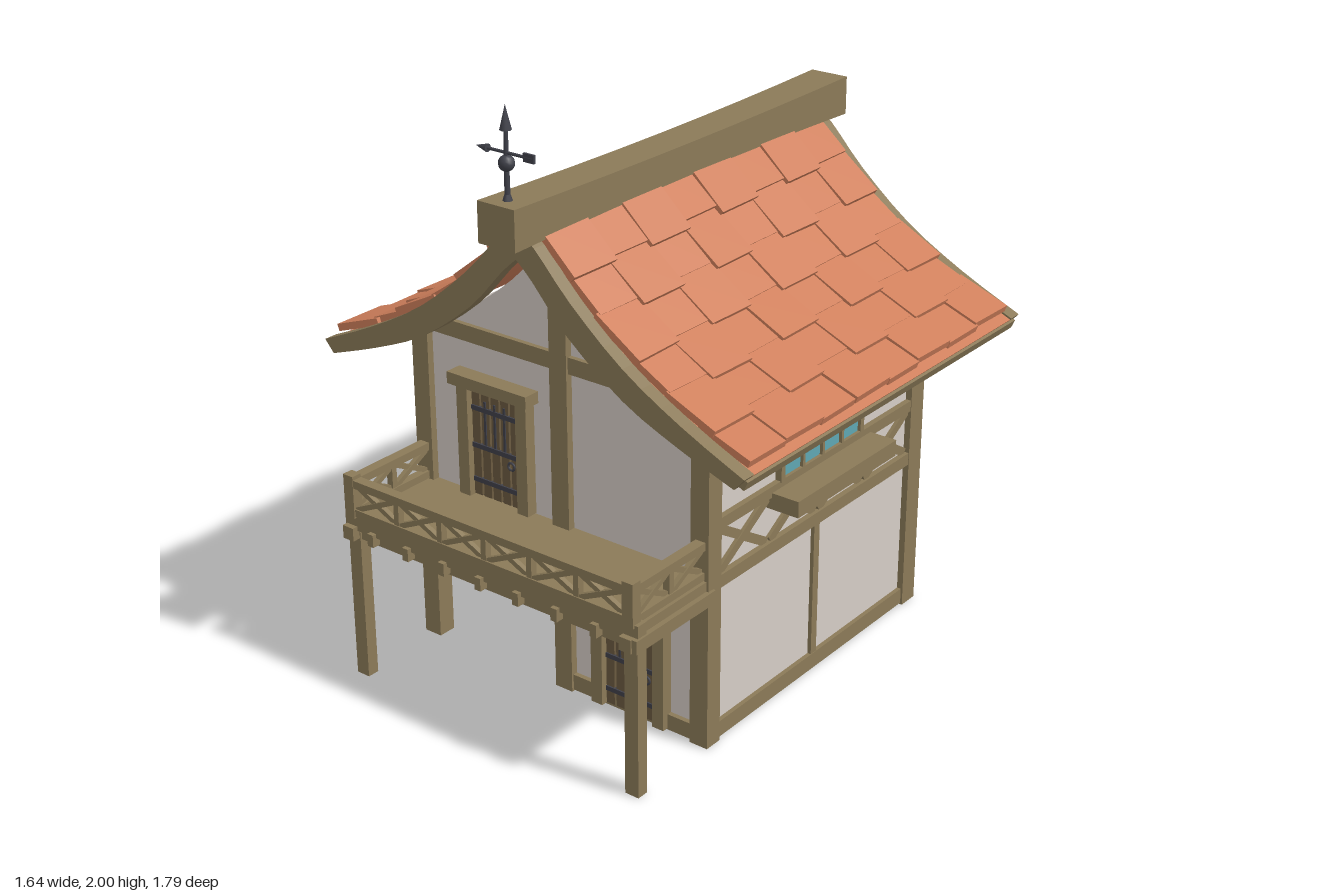
import * as THREE from 'three';

const material = (color, extra = {}) => new THREE.MeshStandardMaterial({ color, ...extra });
const WOOD = material(0x8b7a58, { flatShading: true });
const DOOR = material(0x6b5a40, { flatShading: true });
const PLASTER = material(0xd6cdc6);
const TILE = material(0xcf7f5b, { flatShading: true });
const GLASS = material(0x5fa6b2);
const IRON = material(0x40414a);

// Roof cross-section: upper and lower edge of the curved rafters, ridge to eave
const UPPER = [[0, 1.62], [0.07, 1.575], [0.2, 1.44], [0.39, 1.285], [0.6, 1.165], [0.82, 1.065]];
const LOWER = [[0, 1.525], [0.06, 1.47], [0.19, 1.33], [0.39, 1.185], [0.59, 1.095], [0.785, 1.025]];
const roofCurve = (t) => new THREE.SplineCurve(UPPER.map(([x, y], i) =>
  new THREE.Vector2(x + (LOWER[i][0] - x) * t, y + (LOWER[i][1] - y) * t)));
const halfRoof = (t) => roofCurve(t).getPoints(15);
const fullRoof = (t) => {
  const half = halfRoof(t);
  return [...half.slice(1).reverse().map((p) => new THREE.Vector2(-p.x, p.y)), ...half];
};

let seed = 7;
const jitter = (amount) => {
  seed = (seed * 16807) % 2147483647;
  return (seed / 2147483647 - 0.5) * 2 * amount;
};

function add(parent, name, geometry, mat, x = 0, y = 0, z = 0) {
  const mesh = new THREE.Mesh(geometry, mat);
  mesh.name = name;
  mesh.position.set(x, y, z);
  parent.add(mesh);
  return mesh;
}

// Box given by its extents
function box(parent, name, x0, x1, y0, y1, z0, z1, mat = WOOD) {
  return add(parent, name, new THREE.BoxGeometry(x1 - x0, y1 - y0, z1 - z0), mat,
    (x0 + x1) / 2, (y0 + y1) / 2, (z0 + z1) / 2);
}

// Flat panel given by an outline in x and y
function slab(parent, name, shape, z0, z1, mat) {
  return add(parent, name, new THREE.ExtrudeGeometry(shape, { depth: z1 - z0, bevelEnabled: false, curveSegments: 6 }),
    mat, 0, 0, z0);
}

function group(parent, name, x = 0, y = 0, z = 0, turn = 0) {
  const g = new THREE.Group();
  g.name = name;
  g.position.set(x, y, z);
  g.rotation.y = turn;
  parent.add(g);
  return g;
}

// Row of X braces in the local xy plane
function crosses(parent, name, x0, x1, y0, y1, count, width, depth, posts = false) {
  const step = (x1 - x0) / count;
  for (let i = 0; i < count; i++) {
    const cx = x0 + step * (i + 0.5);
    for (const s of [-1, 1]) {
      const bar = add(parent, name, new THREE.BoxGeometry(Math.hypot(step, y1 - y0) - width * 0.6, width, depth),
        WOOD, cx, (y0 + y1) / 2, s * 0.002);
      bar.rotation.z = s * Math.atan2(y1 - y0, step);
    }
    if (posts && i) box(parent, 'balusterPost', x0 + step * i - 0.01, x0 + step * i + 0.01, y0, y1, -0.012, 0.012);
  }
}

// Timber band with braces, centred on a wall
function braceBand(parent, length, count) {
  const h = length / 2;
  box(parent, 'lowerBandBeam', -h, h, 0.535, 0.578, -0.025, 0.022);
  box(parent, 'upperBandBeam', -h, h, 0.732, 0.77, -0.025, 0.022);
  crosses(parent, 'wallBrace', -h, h, 0.575, 0.735, count, 0.03, 0.024);
}

// Plank door in a timber frame, origin at the middle of its foot
function door(parent, name, x, y) {
  const g = group(parent, name, x, y, 0.515);
  for (const s of [-1, 1]) box(g, 'doorJamb', s * 0.122 - 0.022, s * 0.122 + 0.022, 0, 0.39, -0.02, 0.035);
  box(g, 'doorLintel', -0.163, 0.163, 0.385, 0.425, -0.02, 0.055);
  box(g, 'doorBacking', -0.1, 0.1, 0, 0.385, -0.01, 0.004, IRON);
  for (let i = 0; i < 5; i++) {
    const px = -0.08 + i * 0.04;
    box(g, 'doorPlank', px - 0.016, px + 0.016, 0.005, 0.375 + jitter(0.008), 0, 0.016, DOOR);
  }
  for (const by of [0.06, 0.18, 0.31]) box(g, 'doorStrap', -0.095, 0.095, by - 0.008, by + 0.008, 0.01, 0.021, IRON);
  for (const bx of [-0.04, 0, 0.04]) box(g, 'doorBar', bx - 0.004, bx + 0.004, 0.19, 0.34, 0.012, 0.02, IRON);
  add(g, 'doorHandle', new THREE.TorusGeometry(0.013, 0.004, 6, 10), IRON, 0.07, 0.15, 0.024);
}

// Four arched panes behind a timber surround
function archedWindow(parent) {
  const g = group(parent, 'window', 0, 0, 0);
  const frame = new THREE.Shape([[-0.23, 0.765], [0.23, 0.765], [0.23, 0.99], [-0.23, 0.99]].map((p) => new THREE.Vector2(...p)));
  for (let i = 0; i < 4; i++) {
    const x = -0.162 + i * 0.108, r = 0.048;
    const hole = new THREE.Path();
    hole.moveTo(x - r, 0.775);
    hole.lineTo(x + r, 0.775);
    hole.lineTo(x + r, 0.935);
    hole.absellipse(x, 0.935, r, 0.035, 0, Math.PI, false);
    hole.closePath();
    frame.holes.push(hole);
  }
  slab(g, 'windowFrame', frame, -0.01, 0.025, WOOD);
  box(g, 'windowGlass', -0.215, 0.215, 0.77, 0.98, -0.01, 0.014, GLASS);
  box(g, 'windowLintel', -0.245, 0.245, 0.985, 1.012, -0.01, 0.04);
  return g;
}

export function createModel() {
  const house = new THREE.Group();
  house.name = 'timberHouse';

  // Plaster walls: side room below, full-width gabled storey above
  box(house, 'lowerRoom', 0, 0.55, 0.015, 0.56, -0.635, 0.51, PLASTER);
  const top = fullRoof(0.75).filter((p) => p.x > -0.57 && p.x < 0.54).reverse();
  const gable = new THREE.Shape([new THREE.Vector2(-0.58, 0.545), new THREE.Vector2(0.55, 0.545),
    new THREE.Vector2(0.55, 1.125), ...top, new THREE.Vector2(-0.58, 1.115)]);
  slab(house, 'upperStorey', gable, -0.635, 0.51, PLASTER);

  // Main posts, sills and tie beams
  for (const [z0, z1] of [[0.47, 0.535], [-0.66, -0.585]]) {
    box(house, 'leftPost', 0.505, 0.572, 0, 1.12, z0, z1);
    box(house, 'rightPost', -0.607, -0.54, 0, 1.12, z0, z1);
    box(house, 'middlePost', -0.034, 0.034, 0, 1.55, z0, z1);
    box(house, 'tieBeam', -0.56, 0.54, 1.11, 1.165, z0 + 0.008, z1 - 0.008);
    box(house, 'floorBeam', -0.58, 0.55, 0.5, 0.55, z0 + 0.008, z1 - 0.008);
    box(house, 'sill', 0, 0.55, 0.005, 0.06, z0 + 0.008, z1 - 0.008);
  }
  box(house, 'sideSill', 0.51, 0.565, 0.005, 0.06, -0.6, 0.5);
  box(house, 'innerSill', -0.02, 0.03, 0.005, 0.06, -0.6, 0.5);
  box(house, 'sideStud', 0.53, 0.563, 0.05, 0.55, -0.07, -0.04);
  box(house, 'innerStud', -0.013, 0.02, 0.05, 0.55, -0.07, -0.04);
  box(house, 'backStud', 0.255, 0.285, 0.05, 0.55, -0.652, -0.62);
  for (const x of [-0.29, 0.27]) box(house, 'backUpperStud', x - 0.017, x + 0.017, 0.76, 1.12, -0.652, -0.62);

  // Braced bands and windows on both sides, braced band at the back
  for (const [side, x, turn] of [['left', 0.548, Math.PI / 2], ['right', -0.578, -Math.PI / 2]]) {
    braceBand(group(house, side + 'WallBand', x, 0, -0.055, turn), 1.06, 4);
    archedWindow(group(house, side + 'Window', x, 0, -0.065, turn));
  }
  box(house, 'windowLedge', 0.55, 0.668, 0.693, 0.748, -0.34, 0.21);
  for (const x of [-0.29, 0.27]) braceBand(group(house, 'backWallBand', x, 0, -0.637, Math.PI), 0.5, 2);

  // Joists under the overhanging storey
  for (let i = 0; i < 8; i++) {
    const z = -0.52 + i * 0.13;
    box(house, 'overhangJoist', -0.62, 0, 0.503, 0.546, z - 0.018, z + 0.018);
  }
  box(house, 'overhangBeam', -0.6, -0.555, 0.535, 0.575, -0.6, 0.5);

  // Doors
  door(house, 'lowerDoor', 0.27, 0.01);
  door(house, 'upperDoor', -0.265, 0.585);

  // Balcony with joists, posts and crossed railing
  const balcony = group(house, 'balcony');
  box(balcony, 'balconyDeck', -0.595, 0.565, 0.545, 0.582, 0.5, 0.86);
  box(balcony, 'balconyFascia', -0.6, 0.575, 0.535, 0.59, 0.835, 0.875);
  box(balcony, 'balconyFrontBeam', -0.58, 0.55, 0.5, 0.537, 0.83, 0.86);
  for (let i = 0; i < 8; i++) {
    const x = -0.48 + i * 0.15;
    box(balcony, 'balconyJoist', x - 0.012, x + 0.012, 0.507, 0.55, 0.51, 0.89);
  }
  for (const x of [-0.572, 0.542]) {
    box(balcony, 'balconySideBeam', x - 0.022, x + 0.022, 0.505, 0.55, 0.5, 0.895);
    box(balcony, 'balconyLeg', x - 0.025, x + 0.025, 0, 0.54, 0.825, 0.867);
    box(balcony, 'cornerPost', x - 0.02, x + 0.02, 0.58, 0.725, 0.845, 0.882);
    box(balcony, 'sideTopRail', x - 0.018, x + 0.018, 0.685, 0.712, 0.52, 0.87);
    box(balcony, 'sideBottomRail', x - 0.015, x + 0.015, 0.585, 0.61, 0.52, 0.87);
    const side = group(balcony, 'sideRailing', x, 0, 0.69, Math.PI / 2);
    crosses(side, 'railingBrace', -0.165, 0.165, 0.605, 0.69, 2, 0.017, 0.016, true);
  }
  box(balcony, 'frontTopRail', -0.57, 0.54, 0.685, 0.712, 0.845, 0.88);
  box(balcony, 'frontBottomRail', -0.57, 0.54, 0.585, 0.61, 0.848, 0.878);
  crosses(group(balcony, 'frontRailing', 0, 0, 0.863), 'railingBrace', -0.555, 0.525, 0.605, 0.69, 6, 0.017, 0.016, true);

  // Curved roof sheet and the rafters that close each end
  const roofBand = (t0, t1) => new THREE.Shape([...fullRoof(t1), ...fullRoof(t0).reverse()]);
  slab(house, 'roofSheet', roofBand(0.12, 0.5), -0.78, 0.668, TILE);
  slab(house, 'frontRafter', roofBand(0, 1), 0.66, 0.708, WOOD);
  slab(house, 'backRafter', roofBand(0, 1), -0.82, -0.772, WOOD);
  for (const s of [-1, 1]) {
    const eave = box(house, 'eaveBoard', -0.03, 0.03, -0.016, 0.016, -0.8, 0.69);
    eave.position.set(s * 0.785, 1.048, -0.055);
    eave.rotation.z = -s * 0.42;
  }

  // Overlapping tiles in staggered rows
  const slope = roofCurve(0.05), rows = 6, columns = 8, width = 1.42 / columns;
  for (const [name, turn] of [['leftTiles', 0], ['rightTiles', Math.PI]]) {
    const tiles = group(house, name, 0, 0, -0.055, turn);
    for (let r = 0; r < rows; r++) {
      for (let c = 0; c < columns; c++) {
        const raised = (r + c) % 2;
        const u = 0.1 + r * 0.155 + (raised && r < rows - 1 ? 0.022 : 0) + jitter(0.006);
        const p = slope.getPointAt(u), d = slope.getTangentAt(u);
        const lift = 0.008 + raised * 0.008;
        const tile = add(tiles, 'roofTile', new THREE.BoxGeometry(0.19, 0.024, width + (raised ? 0.012 : -0.004) + jitter(0.006)), TILE,
          p.x - d.y * lift, p.y + d.x * lift, (c - (columns - 1) / 2) * width);
        tile.rotation.set(0, jitter(0.025), Math.atan2(d.y, d.x) + 0.07);
      }
    }
  }

  // Ridge beam, sagging slightly and thicker at its ends
  const ridge = new THREE.BoxGeometry(0.14, 0.12, 1.69, 1, 1, 8);
  const pos = ridge.attributes.position;
  for (let i = 0; i < pos.count; i++) {
    const k = (pos.getZ(i) / 0.845) ** 2;
    pos.setY(i, pos.getY(i) * (0.88 + 0.2 * k));
    pos.setX(i, pos.getX(i) * (0.95 + 0.05 * k));
  }
  ridge.computeVertexNormals();
  add(house, 'ridgeBeam', ridge, WOOD, 0.006, 1.652, -0.05);

  // Weather vane
  const vane = group(house, 'weatherVane', 0.004, 1.71, 0.74);
  add(vane, 'vaneRod', new THREE.CylinderGeometry(0.006, 0.009, 0.25, 8), IRON, 0, 0.125, 0);
  add(vane, 'vaneFoot', new THREE.CylinderGeometry(0.008, 0.018, 0.03, 8), IRON, 0, 0.012, 0);
  add(vane, 'vaneBall', new THREE.SphereGeometry(0.025, 12, 8), IRON, 0, 0.117, 0);
  add(vane, 'vaneTip', new THREE.ConeGeometry(0.018, 0.075, 8), IRON, 0, 0.2525, 0);
  add(vane, 'vaneArm', new THREE.CylinderGeometry(0.005, 0.005, 0.2, 8), IRON, 0, 0.148, 0).rotation.z = Math.PI / 2;
  add(vane, 'vaneArrowHead', new THREE.ConeGeometry(0.013, 0.045, 8), IRON, -0.092, 0.148, 0).rotation.z = Math.PI / 2;
  box(vane, 'vaneTail', 0.065, 0.105, 0.135, 0.161, -0.004, 0.004, IRON);

  return house;
}
